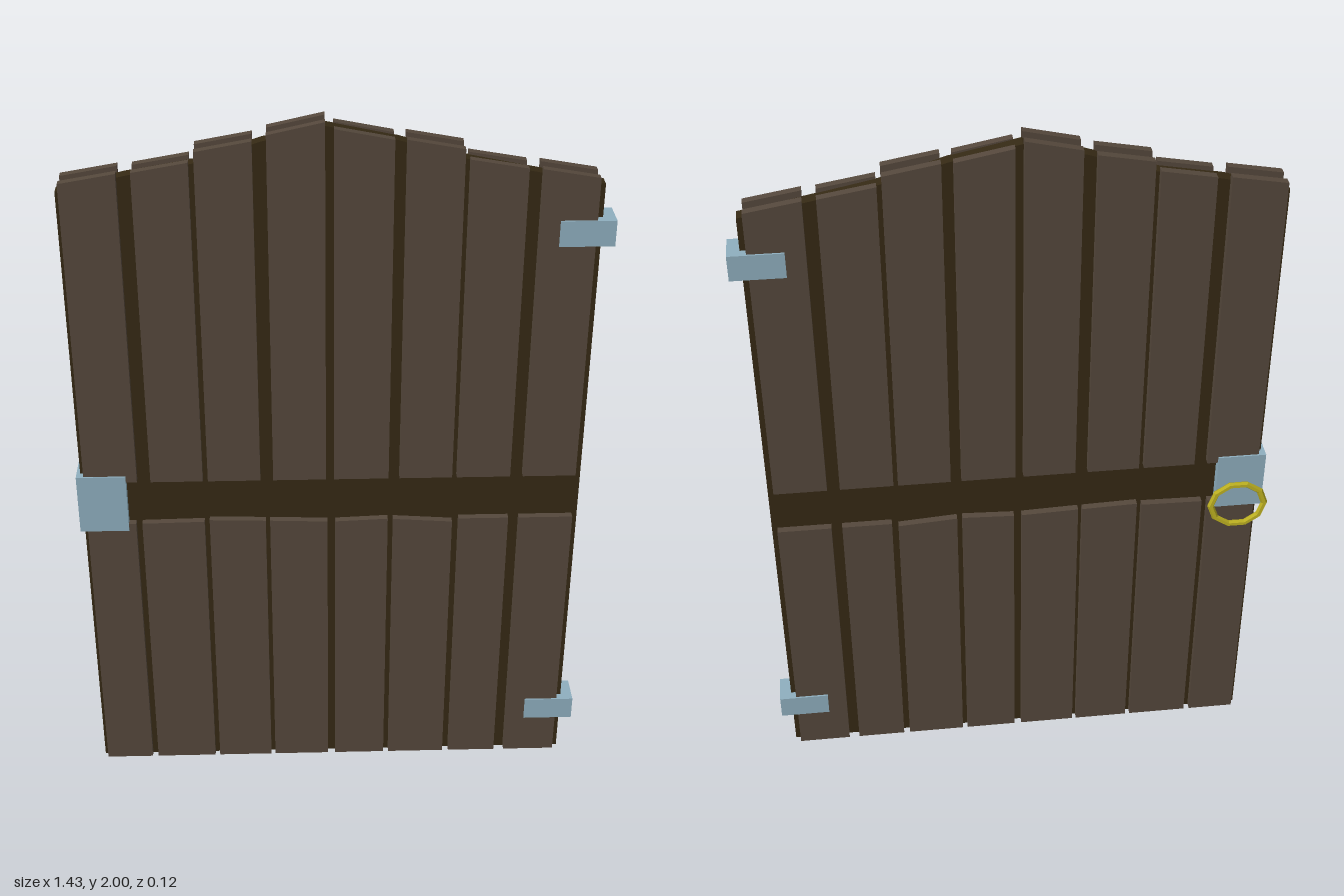
import * as THREE from 'three';

const material = (color, extra = {}) => new THREE.MeshStandardMaterial({ color, flatShading: true, ...extra });

export function createModel() {
  const door = new THREE.Group();
  door.name = 'door';
  const plankWood = material(0x55483c);
  const coreWood = material(0x352914);
  const iron = material(0x8fafbf);
  const brass = material(0xb8ac20);

  function add(name, geometry, mat, parent = door) {
    const mesh = new THREE.Mesh(geometry, mat);
    mesh.name = name;
    parent.add(mesh);
    return mesh;
  }

  // Flat board cut from an outline, spanning z0 to z1
  function board(points, z0, z1) {
    const shape = new THREE.Shape(points.map(([x, y]) => new THREE.Vector2(x, y)));
    return new THREE.ExtrudeGeometry(shape, { depth: z1 - z0, bevelEnabled: false }).translate(0, 0, z0);
  }

  // Box given by its limits on each axis
  function block(x0, x1, y0, y1, z0, z1) {
    return new THREE.BoxGeometry(x1 - x0, y1 - y0, z1 - z0)
      .translate((x0 + x1) / 2, (y0 + y1) / 2, (z0 + z1) / 2);
  }

  // Dark core panel with an arched top, seen between the planks
  add('core', board([
    [-0.695, 0], [0.682, 0], [0.682, 1.825], [0.5, 1.86], [0.33, 1.895], [0.16, 1.945],
    [-0.02, 1.983], [-0.18, 1.945], [-0.35, 1.89], [-0.52, 1.86], [-0.695, 1.82],
  ], 0, 0.037), coreWood);

  // Planks: upper left x, right x, top left y, top right y, lower left x, right x, lower top left y, right y
  const planks = [
    [-0.685, -0.54, 1.848, 1.873, -0.685, -0.55, 0.845, 0.845],
    [-0.503, -0.36, 1.875, 1.9, -0.533, -0.36, 0.845, 0.848],
    [-0.346, -0.202, 1.927, 1.953, -0.346, -0.19, 0.853, 0.848],
    [-0.167, -0.022, 1.968, 2.0, -0.178, -0.018, 0.848, 0.842],
    [0.0, 0.15, 1.982, 1.953, 0.004, 0.15, 0.842, 0.848],
    [0.18, 0.325, 1.953, 1.927, 0.165, 0.33, 0.847, 0.835],
    [0.338, 0.485, 1.9, 1.875, 0.348, 0.487, 0.845, 0.845],
    [0.52, 0.666, 1.873, 1.848, 0.517, 0.667, 0.845, 0.845],
  ];
  const faces = [['front', 0.035, 0.057], ['back', -0.021, 0.002]];
  for (const [side, z0, z1] of faces) {
    const group = new THREE.Group();
    group.name = side + 'Planks';
    door.add(group);
    for (const [ul, ur, tl, tr, ll, lr, bl, br] of planks) {
      add('upperPlank', board([[ul, 0.98], [ur, 0.98], [ur, tr], [ul, tl]], z0, z1), plankWood, group);
      add('lowerPlank', board([[ll, 0.003], [lr, 0.003], [lr, br], [ll, bl]], z0, z1), plankWood, group);
    }
  }

  // Iron fittings wrapped around the two edges
  for (const y of [0.161, 1.7]) add('hinge', block(0.572, 0.715, y - 0.035, y + 0.035, -0.026, 0.061), iron);
  add('lockPlate', block(-0.705, -0.57, 0.825, 1.0, -0.026, 0.061), iron);

  // Pull ring hanging slightly away from the back of the lock plate
  const ring = add('pullRing', new THREE.TorusGeometry(0.077, 0.01, 6, 10), brass);
  ring.scale.y = 0.87;
  ring.rotation.x = 0.1;
  ring.position.set(-0.63, 0.848, -0.048);

  return door;
}
